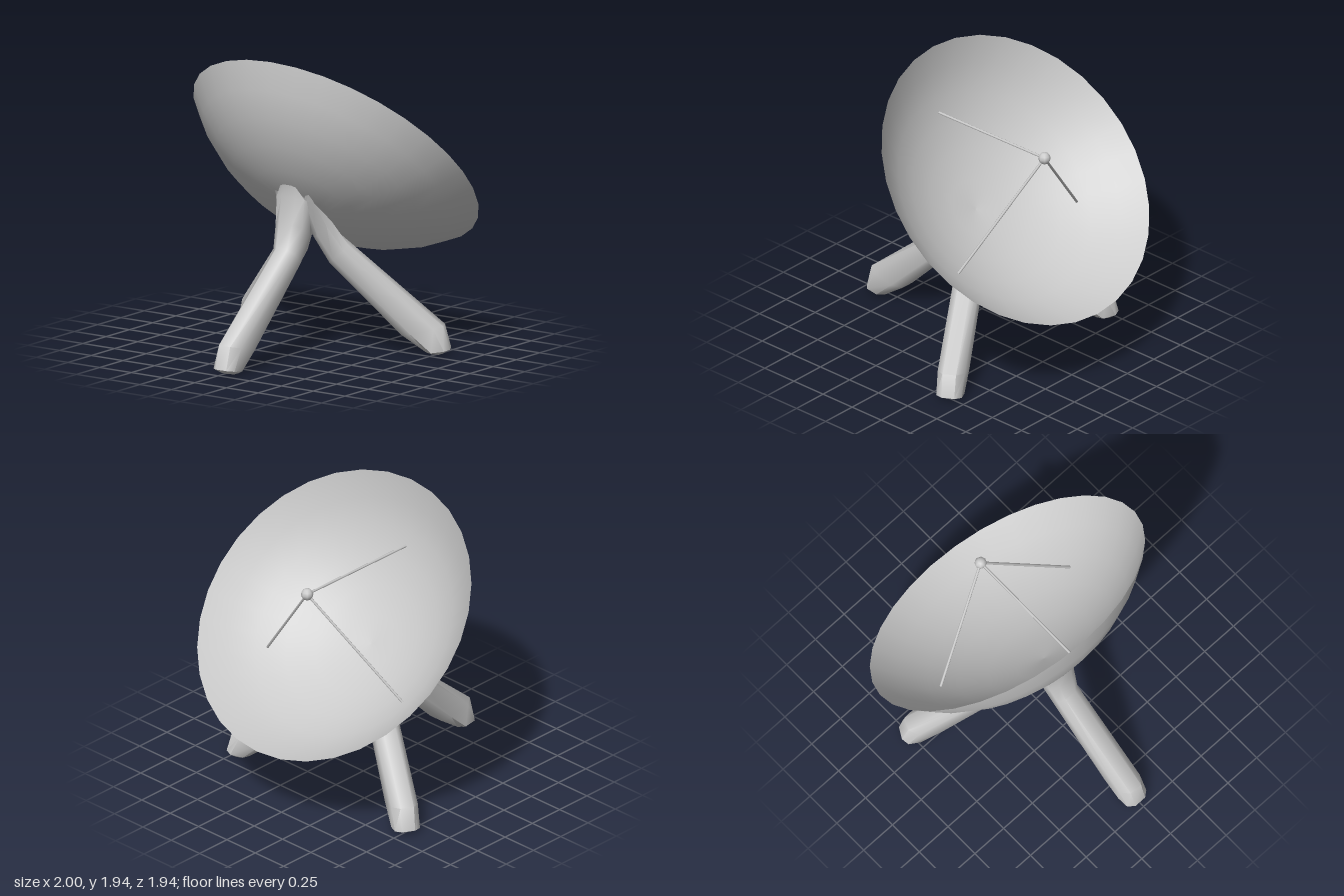
import * as THREE from 'three';
import { toCreasedNormals } from 'three/addons/utils/BufferGeometryUtils.js';

const V = (x, y, z) => new THREE.Vector3(x, y, z);
const mat = new THREE.MeshStandardMaterial({ color: 0xcccccc });
const sheet = new THREE.MeshStandardMaterial({ color: 0xcccccc, side: THREE.DoubleSide });

// The dish is a spherical cap of rim radius 1 tilted back by 45 degrees
const RIM = V(0, 1.235, -0.265), BALL = 1.28, DEPTH = 0.48;
const CENTRE = RIM.clone().add(V(0, 1, -1).normalize().multiplyScalar(BALL - DEPTH));

function makeDish() {
  const half = Math.asin(1 / BALL), rings = 6, profile = [];
  for (let i = 0; i <= rings; i++) {
    const a = (half * i) / rings;
    profile.push(new THREE.Vector2(BALL * Math.sin(a), BALL - DEPTH - BALL * Math.cos(a)));
  }
  const dish = new THREE.Mesh(new THREE.LatheGeometry(profile, 32), sheet);
  dish.rotation.x = -Math.PI / 4;
  dish.position.copy(RIM);
  return dish;
}

// Leg sections, foot to top: outer radius, outer y, inner radius, inner y, half width
const SECTIONS = [
  [0.87, 0, 0.79, 0, 0.06],
  [0.92, 0.03, 0.77, 0.008, 0.083],
  [0.88, 0.18, 0.61, 0.12, 0.088],
  [0.27, 0.70, 0.15, 0.58, 0.085],
  [0.225, 0.86, 0.07, 0.75, 0.105],
  [0.195, 1.03, 0.09, 0.98, 0.11],
  [0.19, 1.12, 0.14, 1.08, 0.06],
];
// Chamfered cross-section, as factors along depth and width
const RING = [[1, -0.5], [1, 0.5], [0.55, 1], [-0.55, 1], [-1, 0.5], [-1, -0.5], [-0.55, -1], [0.55, -1]];

function makeLeg(turn) {
  const n = RING.length, pos = [], index = [], side = Math.sign(turn);
  const add = (x, y, r) => {
    const p = V(x, y, r).applyAxisAngle(V(0, 1, 0), turn);
    p.z += 0.05;
    // rear legs lean in toward the shared top
    const t = side ? THREE.MathUtils.clamp((y - 0.7) / 0.32, 0, 1) : 0;
    p.x -= 0.06 * side * t;
    p.z += 0.12 * t;
    // keep the top just under the dish
    const d = p.clone().sub(CENTRE);
    if (d.length() < 1.29) p.copy(CENTRE).add(d.setLength(1.29));
    pos.push(p.x, p.y, p.z);
  };
  for (const [ro, yo, ri, yi, w] of SECTIONS)
    for (const [a, b] of RING)
      add(b * w, (yo + yi) / 2 + (a * (yo - yi)) / 2, (ro + ri) / 2 + (a * (ro - ri)) / 2);
  const last = SECTIONS.length - 1;
  for (const [ro, yo, ri, yi] of [SECTIONS[0], SECTIONS[last]]) add(0, (yo + yi) / 2, (ro + ri) / 2);
  const foot = n * (last + 1), top = foot + 1;
  for (let j = 0; j < n; j++) {
    const k = (j + 1) % n;
    for (let i = 0; i < last; i++) {
      const a = i * n + j, b = i * n + k;
      index.push(a, b, b + n, a, b + n, a + n);
    }
    index.push(foot, k, j, top, last * n + j, last * n + k);
  }
  const geo = new THREE.BufferGeometry();
  geo.setAttribute('position', new THREE.Float32BufferAttribute(pos, 3));
  geo.setIndex(index);
  return new THREE.Mesh(toCreasedNormals(geo, 0.95), mat);
}

function makeRod(from, to) {
  const rod = new THREE.Mesh(new THREE.CylinderGeometry(0.009, 0.009, from.distanceTo(to), 6), mat);
  rod.position.lerpVectors(from, to, 0.5);
  rod.quaternion.setFromUnitVectors(V(0, 1, 0), to.clone().sub(from).normalize());
  return rod;
}

export function createModel() {
  const model = new THREE.Group();
  model.name = 'dishAntenna';
  const put = (mesh, name) => { mesh.name = name; model.add(mesh); };

  put(makeDish(), 'dish');

  // Tripod
  put(makeLeg(0), 'frontLeg');
  put(makeLeg((2 * Math.PI) / 3), 'rearLeftLeg');
  put(makeLeg((-2 * Math.PI) / 3), 'rearRightLeg');

  // Receiver held in front of the dish by three thin rods
  const focus = V(0, 1.49, -0.515);
  const receiver = new THREE.Mesh(new THREE.SphereGeometry(0.04, 8, 6), mat);
  receiver.position.copy(focus);
  put(receiver, 'receiver');
  put(makeRod(focus, V(0, 1.48, 0.39)), 'upperRod');
  put(makeRod(focus, V(0.565, 0.8, -0.29)), 'leftRod');
  put(makeRod(focus, V(-0.59, 0.83, -0.255)), 'rightRod');

  return model;
}
